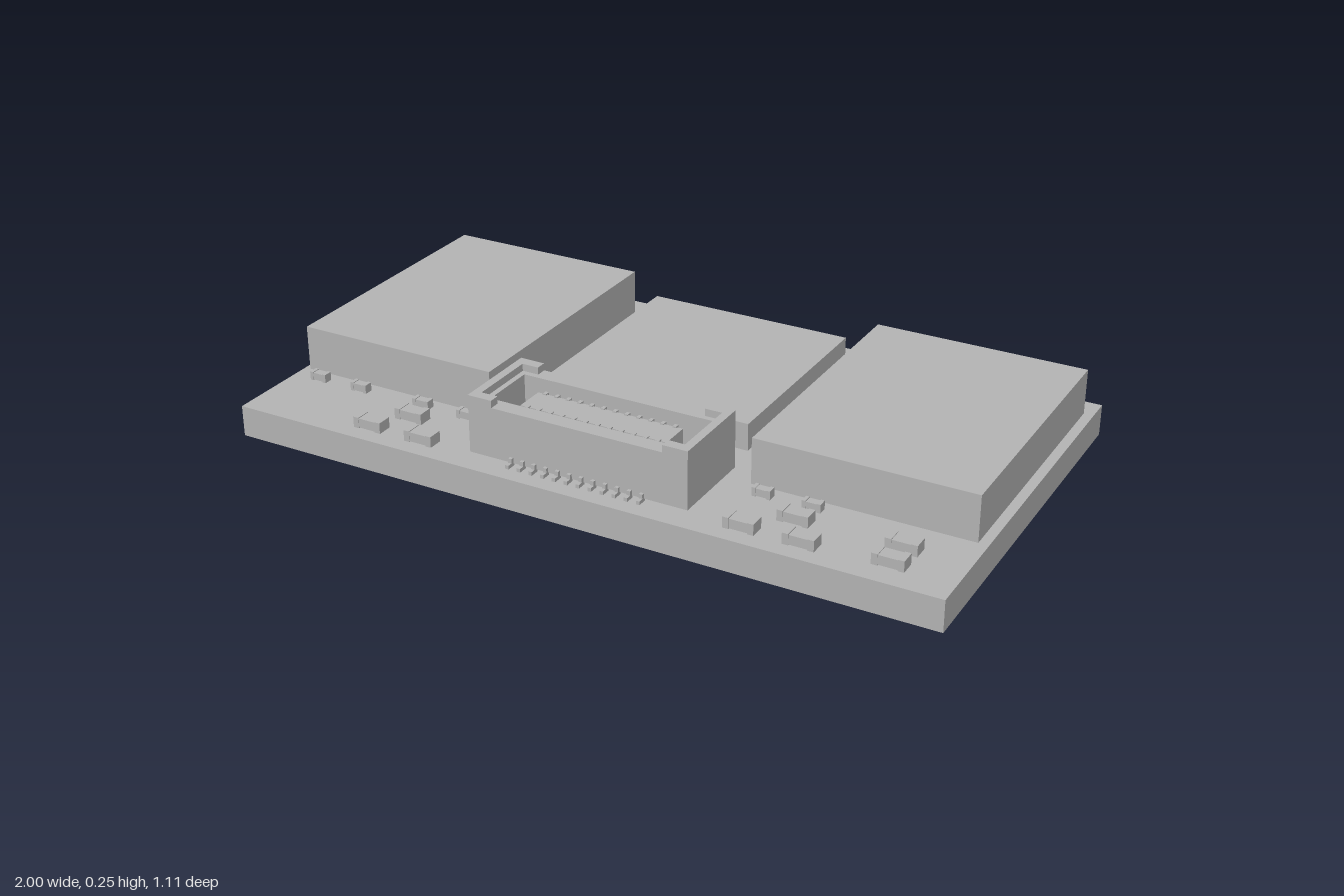
import * as THREE from 'three';

export function createModel() {
  const model = new THREE.Group();
  model.name = 'circuitBoardModule';
  const grey = new THREE.MeshStandardMaterial({ color: 0xb2b2b2 });
  grey.name = 'plain grey';

  const add = (name, geometry, parent = model) => {
    const mesh = new THREE.Mesh(geometry, grey);
    mesh.name = name;
    parent.add(mesh);
    return mesh;
  };
  // Box given by its limits on each axis
  const box = (name, x0, x1, y0, y1, z0, z1, parent) =>
    add(name, new THREE.BoxGeometry(x1 - x0, y1 - y0, z1 - z0), parent)
      .position.set((x0 + x1) / 2, (y0 + y1) / 2, (z0 + z1) / 2);
  // Plan outline raised from y0 to y1
  const slab = (name, shape, y0, y1, parent) => {
    const g = new THREE.ExtrudeGeometry(shape, { depth: y1 - y0, bevelEnabled: false, curveSegments: 24 });
    g.rotateX(-Math.PI / 2);
    g.translate(0, y0, 0);
    return add(name, g, parent);
  };
  const outline = (points) => new THREE.Shape(points.map(([x, y]) => new THREE.Vector2(x, y)));
  const rect = (w, d) => outline([[-w, -d], [w, -d], [w, d], [-w, d]]);

  // Board with two locating holes in its underside
  const boardShape = rect(1, 0.553);
  for (const [x, z] of [[0.79, -0.065], [-0.785, -0.26]]) {
    boardShape.holes.push(new THREE.Path().absarc(x, -z, 0.06, 0, Math.PI * 2, true));
  }
  slab('board', boardShape, 0, 0.087);

  // Chips
  box('rightChip', -0.978, -0.385, 0.091, 0.218, -0.476, 0.288);
  box('leftChip', 0.38, 0.975, 0.091, 0.218, -0.476, 0.288);
  box('centreChip', -0.3, 0.295, 0.091, 0.167, -0.456, 0.138);

  // Connector: base, walls, raised ends and tongue
  const connector = new THREE.Group();
  connector.name = 'connector';
  connector.position.set(-0.003, 0, 0.363);
  model.add(connector);
  slab('connectorBase', rect(0.313, 0.124), 0.095, 0.13, connector);
  const walls = rect(0.313, 0.124);
  walls.holes.push(rect(0.275, 0.079));
  slab('connectorWalls', walls, 0.13, 0.235, connector);
  for (const s of [-1, 1]) {
    const end = outline([
      [0.243, -0.124], [0.313, -0.124], [0.313, 0.124], [0.243, 0.124],
      [0.243, 0.095], [0.29, 0.095], [0.29, -0.095], [0.243, -0.095],
    ].map(([x, y]) => [s * x, y]));
    slab(s < 0 ? 'rightRaisedEnd' : 'leftRaisedEnd', end, 0.235, 0.255, connector);
  }
  box('tongue', -0.21, 0.21, 0.13, 0.215, -0.042, 0.042, connector);

  // Solder pins outside and contacts along the tongue
  for (let i = 0; i < 12; i++) {
    const x = (i - 5.5) * 0.0342;
    for (const s of [-1, 1]) {
      const pin = (name, y0, y1, a, b) =>
        box(name, x - 0.005, x + 0.005, y0, y1, Math.min(s * a, s * b), Math.max(s * a, s * b), connector);
      pin('pinFoot', 0.088, 0.098, 0.12, 0.147);
      pin('pinRiser', 0.098, 0.11, 0.12, 0.133);
      pin('contact', 0.13, 0.218, 0.036, 0.05);
    }
  }

  // Small surface parts with slightly larger end caps
  const component = (name, x, z, w, d, h) => {
    const g = new THREE.Group();
    g.name = name;
    g.position.set(x, 0.091, z);
    model.add(g);
    box('body', -w * 0.3, w * 0.3, 0.002, h - 0.002, -d / 2 + 0.001, d / 2 - 0.001, g);
    for (const s of [-1, 1]) {
      const a = s * w * 0.3, b = s * w * 0.5;
      box('endCap', Math.min(a, b), Math.max(a, b), 0, h, -d / 2, d / 2, g);
    }
  };
  for (const [x, z] of [
    [-0.556, 0.4], [-0.62, 0.492], [-0.461, 0.492], [0.556, 0.4],
    [0.458, 0.492], [0.615, 0.492], [0.834, 0.397], [0.834, 0.475],
  ]) component('capacitor', x, z, 0.083, 0.042, 0.03);
  for (const [x, z] of [
    [-0.91, 0.329], [-0.775, 0.329], [-0.573, 0.329], [-0.433, 0.329], [0.433, 0.329],
    [0.568, 0.329], [-0.91, -0.517], [0.775, -0.517], [0.908, -0.517],
  ]) component('resistor', x, z, 0.05, 0.025, 0.024);

  return model;
}
